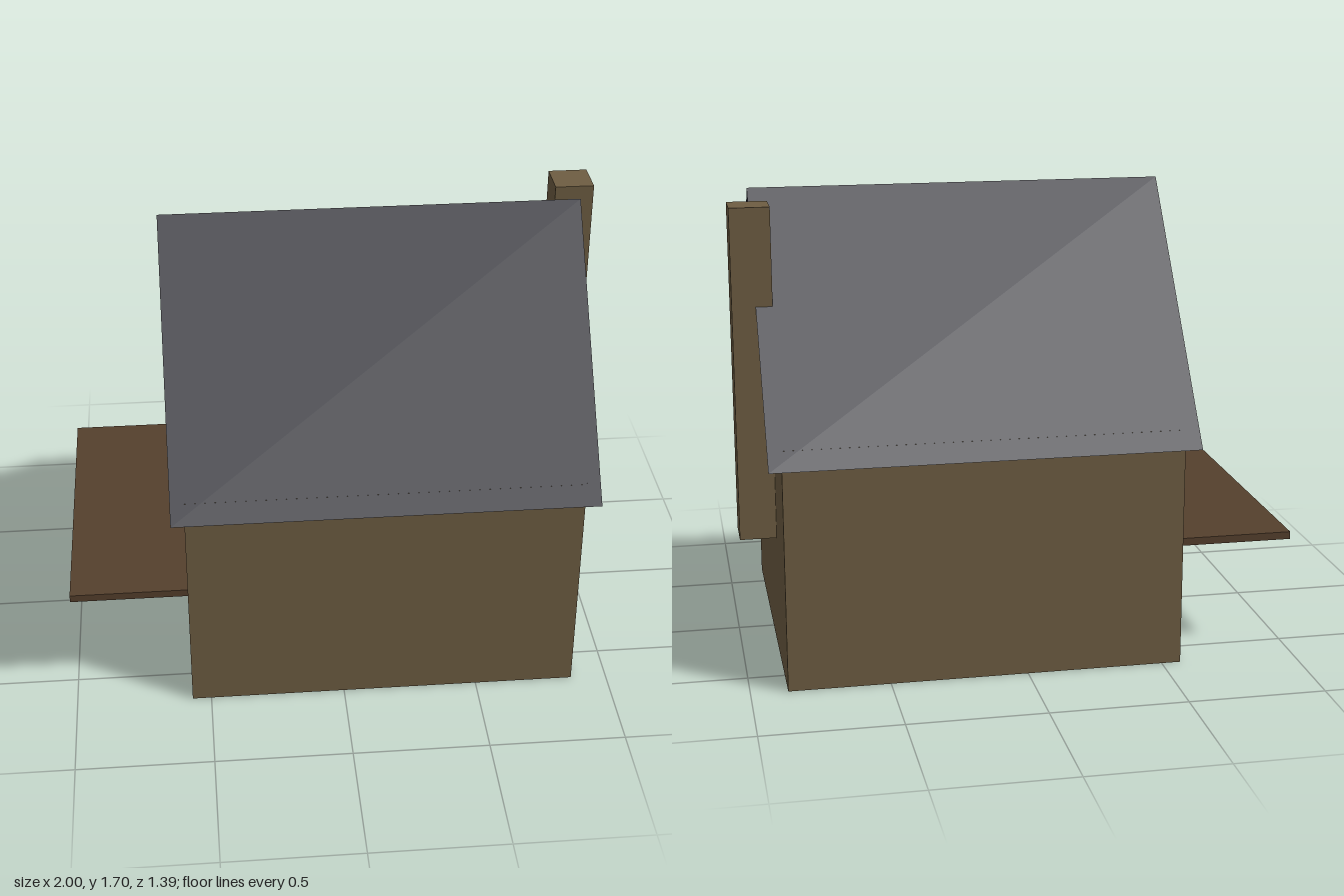
import * as THREE from 'three';

export function createModel() {
  const house = new THREE.Group();
  house.name = 'house';

  const material = (name, color, side = THREE.FrontSide) => {
    const m = new THREE.MeshStandardMaterial({ color, side });
    m.name = name;
    return m;
  };
  const wallTan = material('wallTan', 0x6e5d42, THREE.DoubleSide);
  const roofNavy = material('roofNavy', 0x0e0f23, THREE.DoubleSide);
  const woodBrown = material('woodBrown', 0x55402d);

  const add = (name, geometry, mat, x, y, z) => {
    const mesh = new THREE.Mesh(geometry, mat);
    mesh.name = name;
    mesh.position.set(x, y, z);
    house.add(mesh);
    return mesh;
  };

  const left = -0.57, right = 0.867, depth = 0.647;
  const eaves = 0.885, ridge = 1.692;
  const midX = (left + right) / 2;

  // Thin front and back walls, open underneath
  for (const s of [1, -1]) {
    const wall = add(s > 0 ? 'frontWall' : 'backWall',
      new THREE.PlaneGeometry(right - left, eaves), wallTan, midX, eaves / 2, s * depth);
    if (s < 0) wall.rotation.y = Math.PI;
  }

  // Gable end walls
  const gable = new THREE.Shape([
    [-depth, 0], [depth, 0], [depth, eaves], [0, ridge], [-depth, eaves],
  ].map(([x, y]) => new THREE.Vector2(x, y)));
  for (const s of [1, -1]) {
    const wall = add(s > 0 ? 'leftGable' : 'rightGable',
      new THREE.ShapeGeometry(gable), wallTan, s > 0 ? right : left, 0, 0);
    wall.rotation.y = s * Math.PI / 2;
  }

  // Two roof sheets meeting at the ridge and overhanging the walls
  const roofTop = 1.697, roofBottom = 0.822, roofDepth = 0.697;
  const rise = roofTop - roofBottom;
  for (const s of [1, -1]) {
    const sheet = new THREE.PlaneGeometry(1.535, Math.hypot(rise, roofDepth));
    sheet.rotateX(-Math.atan2(roofDepth, rise));
    if (s < 0) sheet.rotateY(Math.PI);
    add(s > 0 ? 'frontRoof' : 'backRoof', sheet, roofNavy,
      midX, (roofTop + roofBottom) / 2, s * roofDepth / 2);
  }

  // Chimney on the gable end
  add('chimney', new THREE.BoxGeometry(0.144, 1.215, 0.144), wallTan, 0.928, 1.0645, -0.23);

  // Shelf projecting from the opposite gable, just piercing the wall
  add('shelf', new THREE.BoxGeometry(0.44, 0.028, 1.15), woodBrown, -0.78, 0.439, -0.003);

  return house;
}
